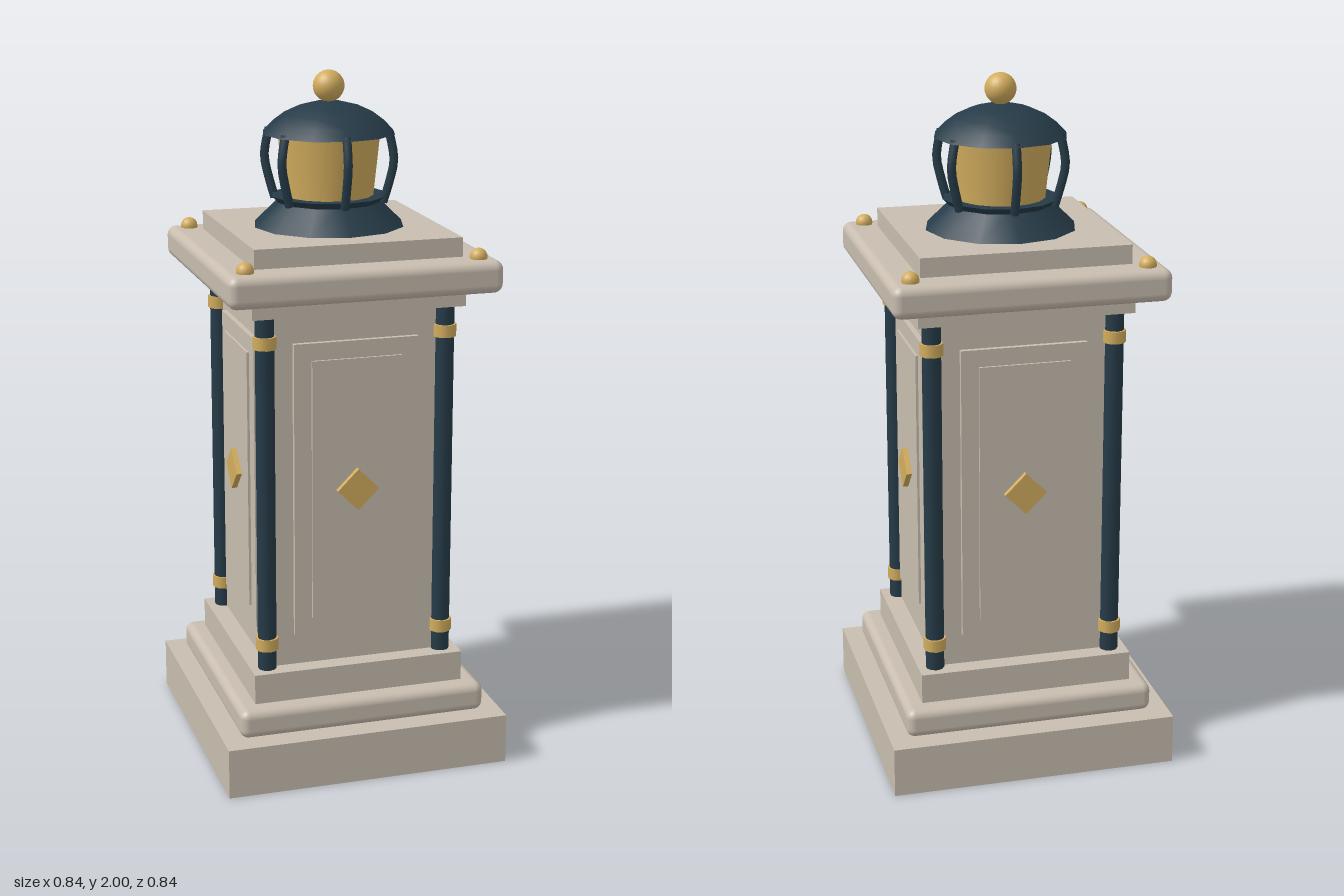
import * as THREE from 'three';
import { RoundedBoxGeometry } from 'three/addons/geometries/RoundedBoxGeometry.js';

const material = (name, color) => {
  const m = new THREE.MeshStandardMaterial({ color });
  m.name = name;
  return m;
};

export function createModel() {
  const stone = material('stone', 0xc8bdaf);
  const iron = material('dark iron', 0x263b48);
  const gold = material('gold', 0xd2ad5e);
  const model = new THREE.Group();
  model.name = 'lanternPillar';

  const add = (name, geometry, mat, x = 0, y = 0, z = 0, parent = model) => {
    const mesh = new THREE.Mesh(geometry, mat);
    mesh.name = name;
    mesh.position.set(x, y, z);
    parent.add(mesh);
    return mesh;
  };
  // Square stone course from y0 to y1, with optional rounded edges
  const course = (name, half, y0, y1, radius = 0) => {
    const w = half * 2, h = y1 - y0;
    const g = radius ? new RoundedBoxGeometry(w, h, w, 3, radius) : new THREE.BoxGeometry(w, h, w);
    add(name, g, stone, 0, (y0 + y1) / 2, 0);
  };

  // Pedestal, shaft and cap
  course('plinth', 0.42, 0, 0.147);
  course('baseMoulding', 0.368, 0.147, 0.232, 0.025);
  course('baseStep', 0.314, 0.23, 0.32);
  course('shaft', 0.26, 0.32, 1.37);
  course('neck', 0.31, 1.365, 1.415);
  course('capSlab', 0.394, 1.413, 1.505, 0.026);
  course('capStep', 0.301, 1.5, 1.56);

  // Raised panel and diamond on each side of the shaft
  for (let i = 0; i < 4; i++) {
    const side = new THREE.Group();
    side.name = 'shaftSide';
    side.rotation.y = i * Math.PI / 2;
    model.add(side);
    add('panel', new THREE.BoxGeometry(0.366, 0.866, 0.03), stone, 0, 0.847, 0.26, side);
    add('innerPanel', new THREE.BoxGeometry(0.264, 0.766, 0.03), stone, 0, 0.847, 0.267, side);
    const diamond = add('diamond', new THREE.BoxGeometry(0.087, 0.087, 0.03), gold, 0, 0.847, 0.283, side);
    diamond.rotation.z = Math.PI / 4;
  }

  // Corner columns with bands, and studs on the cap
  for (const sx of [-1, 1]) for (const sz of [-1, 1]) {
    const x = sx * 0.264, z = sz * 0.264;
    add('cornerColumn', new THREE.CylinderGeometry(0.027, 0.027, 1.05, 10), iron, x, 0.842, z);
    for (const y of [0.397, 1.29]) {
      add('columnBand', new THREE.CylinderGeometry(0.033, 0.033, 0.036, 10), gold, x, y, z);
    }
    add('capStud', new THREE.SphereGeometry(0.025, 16, 10), gold, sx * 0.335, 1.51, sz * 0.335);
  }

  // Lantern
  const lantern = new THREE.Group();
  lantern.name = 'lantern';
  model.add(lantern);
  const lathe = (points) => new THREE.LatheGeometry(points.map(([r, y]) => new THREE.Vector2(r, y)), 12);

  add('skirt', new THREE.CylinderGeometry(0.135, 0.222, 0.085, 12), iron, 0, 1.6, 0, lantern);
  add('collar', new THREE.CylinderGeometry(0.167, 0.15, 0.018, 12), iron, 0, 1.637, 0, lantern);
  add('lamp', new THREE.CylinderGeometry(0.148, 0.128, 0.19, 16), gold, 0, 1.735, 0, lantern);
  add('roof', lathe([[0.193, 1.823], [0.165, 1.852], [0.13, 1.878], [0.085, 1.899], [0.04, 1.91], [0, 1.914]]),
    iron, 0, 0, 0, lantern);
  const underside = add('roofUnderside', new THREE.CircleGeometry(0.193, 12), iron, 0, 1.823, 0, lantern);
  underside.rotation.x = Math.PI / 2;
  add('finial', new THREE.SphereGeometry(0.045, 24, 16), gold, 0, 1.955, 0, lantern);

  // Six bowed bars around the lamp
  const bow = new THREE.CatmullRomCurve3([[0.16, 1.63], [0.175, 1.68], [0.19, 1.75], [0.183, 1.8], [0.175, 1.832]]
    .map(([r, y]) => new THREE.Vector3(0, y, r)));
  const barGeometry = new THREE.TubeGeometry(bow, 8, 0.013, 6);
  for (let i = 0; i < 6; i++) {
    add('lanternBar', barGeometry, iron, 0, 0, 0, lantern).rotation.y = i * Math.PI / 3;
  }
  return model;
}
